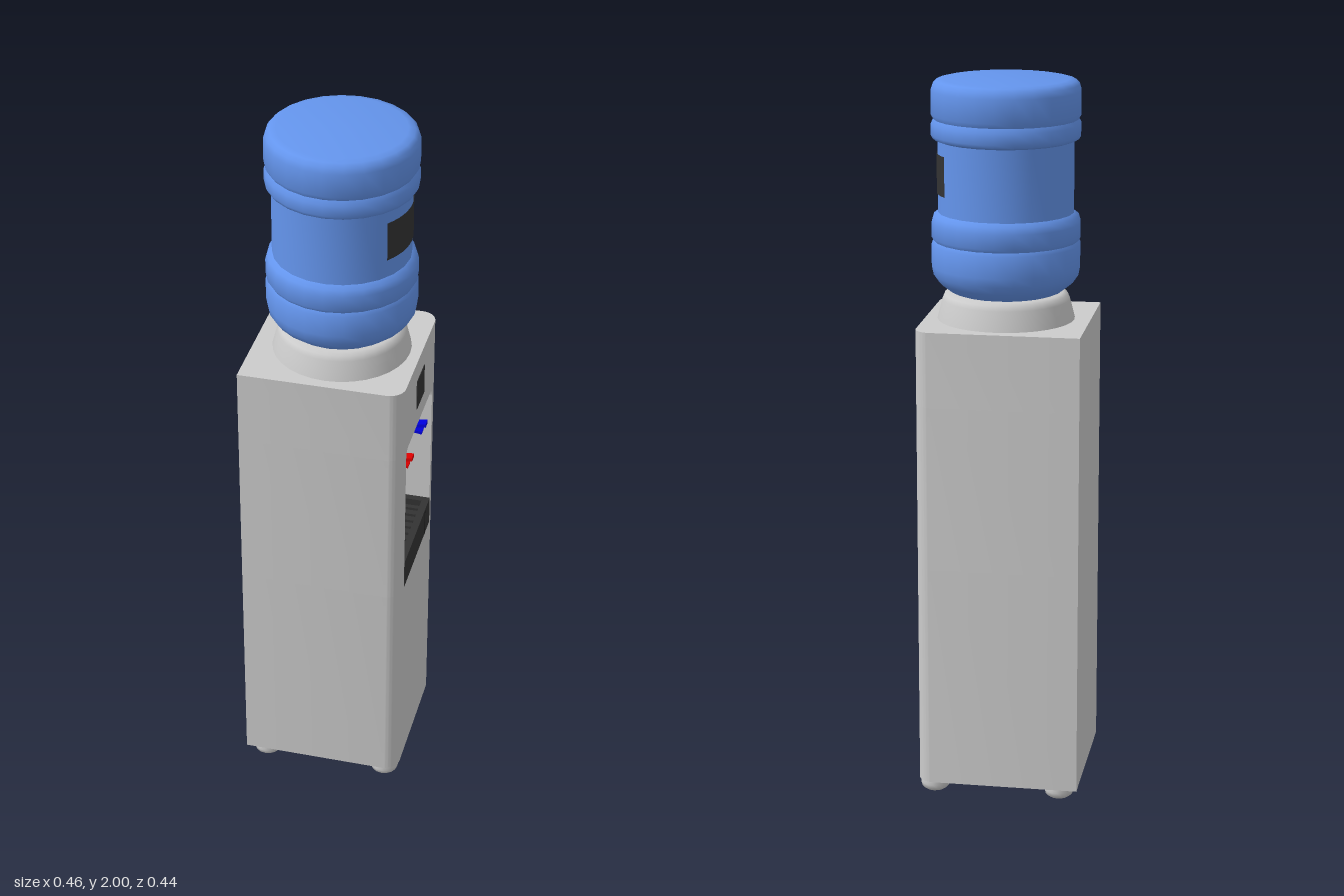
import * as THREE from 'three';
import { toCreasedNormals } from 'three/addons/utils/BufferGeometryUtils.js';

const mat = (color, side = THREE.FrontSide) => new THREE.MeshStandardMaterial({ color, side });
const grey = mat(0xcccccc), dark = mat(0x333333), blue = mat(0x6495ed);
const BACK = -0.23, FRONT = 0.225, HALF = 0.22, NICHE_BACK = 0.04, NICHE_HALF = 0.16;

export function createModel() {
  const root = new THREE.Group();

  const add = (name, geometry, material, x = 0, y = 0, z = 0, parent = root) => {
    const mesh = new THREE.Mesh(geometry, material);
    mesh.name = name;
    mesh.position.set(x, y, z);
    parent.add(mesh);
    return mesh;
  };
  // Plan outline (x, z) raised from y0 to y1
  const raise = (shape, y0, y1) => {
    const g = new THREE.ExtrudeGeometry(shape, { depth: y1 - y0, bevelEnabled: false, curveSegments: 8 });
    g.rotateX(-Math.PI / 2).translate(0, y0, 0);
    return toCreasedNormals(g, 0.6);
  };
  const lathe = (points, sides) => toCreasedNormals(
    new THREE.LatheGeometry(points.map(([r, y]) => new THREE.Vector2(r, y)), sides, Math.PI / 2), 0.75);

  // Cabinet plan: square at the rear, rounded at the dispensing side
  const plan = (withNiche) => {
    const r = 0.045, c = 0.055, s = new THREE.Shape();
    s.moveTo(BACK, -HALF);
    s.lineTo(FRONT - r, -HALF);
    s.absarc(FRONT - r, -HALF + r, r, -Math.PI / 2, 0);
    if (withNiche) {
      s.lineTo(FRONT, -NICHE_HALF);
      s.lineTo(NICHE_BACK + c, -NICHE_HALF);
      s.quadraticCurveTo(NICHE_BACK, -NICHE_HALF, NICHE_BACK, -NICHE_HALF + c);
      s.lineTo(NICHE_BACK, NICHE_HALF - c);
      s.quadraticCurveTo(NICHE_BACK, NICHE_HALF, NICHE_BACK + c, NICHE_HALF);
      s.lineTo(FRONT, NICHE_HALF);
    }
    s.absarc(FRONT - r, HALF - r, r, 0, Math.PI / 2);
    s.lineTo(BACK, HALF);
    s.closePath();
    return s;
  };
  add('cabinetBase', raise(plan(false), 0.03, 0.665), grey);
  add('cabinetNiche', raise(plan(true), 0.665, 1.13), grey);
  add('cabinetTop', raise(plan(false), 1.13, 1.34), grey);

  // Rounded upper corners of the niche opening
  for (const side of [-1, 1]) {
    const f = 0.025, s = new THREE.Shape();
    s.moveTo(side * NICHE_HALF, 1.13);
    s.lineTo(side * (NICHE_HALF - f), 1.13);
    s.quadraticCurveTo(side * NICHE_HALF, 1.13, side * NICHE_HALF, 1.13 - f);
    s.closePath();
    const g = new THREE.ExtrudeGeometry(s, { depth: FRONT - NICHE_BACK, bevelEnabled: false, curveSegments: 6 });
    g.rotateY(Math.PI / 2).translate(NICHE_BACK, 0, 0);
    add('nicheCorner', toCreasedNormals(g, 0.6), grey);
  }

  // Feet
  for (const x of [-0.175, 0.18]) for (const z of [-0.18, 0.18]) {
    add('foot', lathe([[0, 0], [0.028, 0], [0.038, 0.008], [0.041, 0.02], [0.038, 0.035], [0, 0.035]], 16), grey, x, 0, z);
  }

  // Oval splash plate on the niche wall
  const plate = add('splashPlate', new THREE.CylinderGeometry(1, 1, 0.012, 32), grey, NICHE_BACK + 0.005, 0.915, 0);
  plate.rotation.z = -Math.PI / 2;
  plate.scale.set(0.097, 1, 0.067);

  // Drip tray with raised rim, grille bars and a seam on its face
  add('dripTray', new THREE.BoxGeometry(0.18, 0.065, 0.318), dark, 0.136, 0.6985, 0);
  add('trayFrontRim', new THREE.BoxGeometry(0.02, 0.02, 0.318), dark, 0.216, 0.741, 0);
  add('trayBackRim', new THREE.BoxGeometry(0.03, 0.024, 0.3), dark, 0.061, 0.743, 0);
  for (const side of [-1, 1]) {
    add('traySideRim', new THREE.BoxGeometry(0.17, 0.02, 0.02), dark, 0.13, 0.741, side * 0.149);
  }
  for (let i = 0; i < 9; i++) {
    add('grilleBar', new THREE.BoxGeometry(0.14, 0.008, 0.012), dark, 0.14, 0.735, (i - 4) * 0.03);
  }
  add('traySeam', new THREE.BoxGeometry(0.003, 0.085, 0.004), mat(0x1c1c1c), 0.2255, 0.708, -0.095);

  // Taps: red on one side, blue on the other
  for (const [side, color] of [[1, 0xdd0000], [-1, 0x0000dd]]) {
    const tap = new THREE.Group();
    tap.name = side > 0 ? 'hotTap' : 'coldTap';
    tap.position.set(0.145, 0, side * 0.085);
    root.add(tap);
    add('spout', lathe([[0, 0.95], [0.011, 0.95], [0.013, 0.985], [0.02, 1.0], [0.02, 1.03], [0.012, 1.038], [0, 1.038]], 16), grey, 0, 0, 0, tap);
    add('tapPipe', new THREE.CylinderGeometry(0.012, 0.012, 0.105, 14), grey, -0.053, 1.005, 0, tap).rotation.z = Math.PI / 2;
    add('pipeFlange', new THREE.CylinderGeometry(0.02, 0.02, 0.012, 16), grey, -0.099, 1.005, 0, tap).rotation.z = Math.PI / 2;
    const paint = mat(color);
    add('lever', new THREE.BoxGeometry(0.105, 0.01, 0.026), paint, 0.03, 1.053, 0, tap).rotation.z = 0.1;
    add('leverPaddle', new THREE.BoxGeometry(0.06, 0.008, 0.024), paint, 0.042, 1.036, 0, tap).rotation.z = -0.15;
    add('leverHub', new THREE.CylinderGeometry(0.012, 0.012, 0.02, 12), paint, 0, 1.043, 0, tap);
  }

  // Panel above the niche
  add('indicatorPanel', new THREE.BoxGeometry(0.004, 0.09, 0.09), dark, FRONT, 1.235, 0);

  // Bottle collar
  add('collar', lathe([[0.19, 1.34], [0.176, 1.395], [0.17, 1.409], [0.158, 1.415], [0.11, 1.415]], 32), grey, 0.005);

  // Water bottle with ribs
  add('bottle', lathe([
    [0, 1.405], [0.12, 1.407], [0.155, 1.42], [0.185, 1.443], [0.2, 1.465], [0.205, 1.49],
    [0.205, 1.55], [0.199, 1.56], [0.205, 1.57], [0.205, 1.61], [0.2, 1.628], [0.187, 1.638],
    [0.187, 1.835], [0.2, 1.84], [0.205, 1.85], [0.205, 1.88], [0.198, 1.893], [0.205, 1.906],
    [0.205, 1.97], [0.2, 1.986], [0.19, 1.996], [0.172, 2], [0, 2],
  ], 24), blue, 0.005);

  // Label wrapped on the dispensing side of the bottle
  const half = 0.655;
  add('bottleLabel', new THREE.CylinderGeometry(0.189, 0.189, 0.11, 12, 1, true, Math.PI / 2 - half, half * 2),
    mat(0x333333, THREE.DoubleSide), 0.005, 1.745, 0);

  return root;
}
